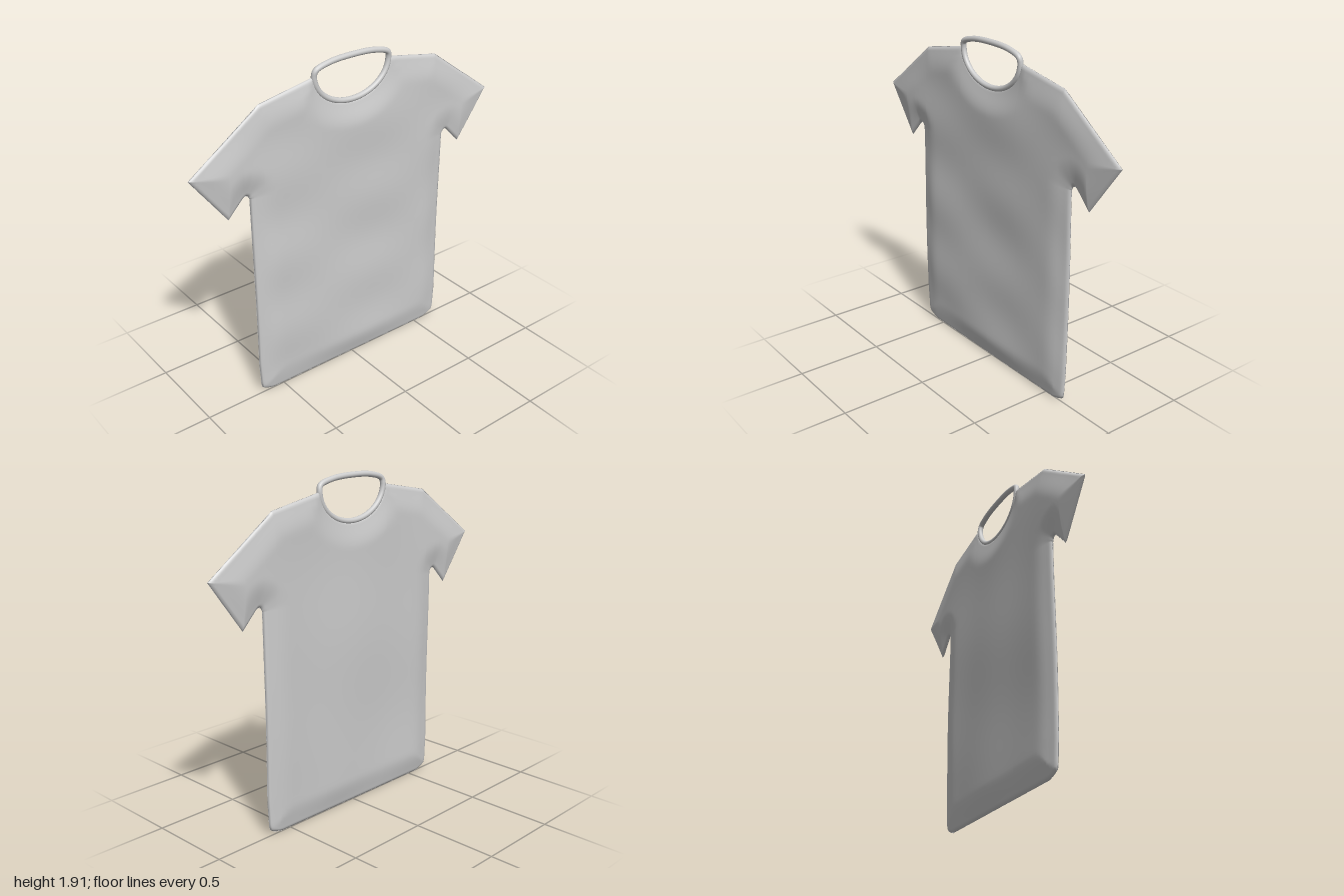
import * as THREE from 'three';
import { mergeVertices } from 'three/addons/utils/BufferGeometryUtils.js';

const ARMPIT = 1.26, SIDE = 0.66, NECK_X = 0.245, NECK_Y = 1.825, NECK_DROP = 0.18;

// Piecewise-linear curves of the cut, as [position, value] pairs
const halfWidth = [[0, 0.57], [0.012, 0.61], [0.03, 0.645], [0.06, 0.652], [0.2, SIDE], [ARMPIT, SIDE]];
const underSleeve = [[0, ARMPIT], [SIDE, ARMPIT], [0.668, 1.278], [0.685, 1.285], [0.702, 1.272], [0.79, 1.18], [1, 1.465]];
const shoulder = [[NECK_X, NECK_Y], [0.585, 1.762], [1, 1.465]];

function lookup(curve, t) {
  for (let i = 1; i < curve.length; i++) {
    const [a, va] = curve[i - 1], [b, vb] = curve[i];
    if (t <= b) return va + (vb - va) * (t - a) / (b - a);
  }
  return curve[curve.length - 1][1];
}

const neckline = (x) => NECK_Y - NECK_DROP * Math.sqrt(Math.max(0, 1 - (x / NECK_X) ** 2));
const topEdge = (x) => (x < NECK_X ? neckline(x) : lookup(shoulder, x));

// Closed outline of the shirt, used to measure the distance to the nearest edge
function makeOutline() {
  const half = halfWidth.map(([y, x]) => [x, y]);
  half.push(...underSleeve.slice(2), [0.585, 1.762]);
  for (let i = 0; i <= 24; i++) {
    const a = (i / 24) * Math.PI / 2;
    half.push([NECK_X * Math.cos(a), NECK_Y - NECK_DROP * Math.sin(a)]);
  }
  return [...half, ...half.map(([x, y]) => [-x, y]).reverse()];
}

function edgeDistance(outline, x, y) {
  let best = Infinity;
  outline.forEach(([ax, ay], i) => {
    const [bx, by] = outline[(i + 1) % outline.length];
    const dx = bx - ax, dy = by - ay;
    const t = THREE.MathUtils.clamp(((x - ax) * dx + (y - ay) * dy) / (dx * dx + dy * dy || 1), 0, 1);
    best = Math.min(best, Math.hypot(x - ax - t * dx, y - ay - t * dy));
  });
  return Math.max(0, best - 0.003);
}

// Column positions, bunched up next to each corner of the cut
function makeColumns() {
  const stops = [0, NECK_X, 0.585, SIDE, 0.702, 0.79, 1];
  const counts = [14, 12, 8, 6, 6, 14];
  const right = [0];
  counts.forEach((n, s) => {
    for (let i = 1; i <= n; i++) right.push(stops[s] + (stops[s + 1] - stops[s]) * ease(i / n));
  });
  return [...right.slice(1).reverse().map((x) => -x), ...right];
}
const ease = (t) => 0.5 - 0.5 * Math.cos(Math.PI * t);

// Cloth depth: soft rounded rim, sloping border, gentle folds
function clothDepth(x, y, d, side) {
  const rim = Math.sqrt(Math.min(1, d / 0.012));
  const slope = THREE.MathUtils.smoothstep(d, -0.05, 0.15) - THREE.MathUtils.smoothstep(0, -0.05, 0.15);
  const sway = 0.003 * Math.sin(5 * y + 2 * x);
  const folds = side > 0
    ? 0.005 * Math.sin(13 * y + 1.2 * x + 0.5) * Math.cos(5 * x - 0.6) + 0.003 * Math.cos(7 * x + 4 * y)
    : 0.003 * Math.sin(9 * x + 1.5 * y) + 0.002 * Math.sin(8 * y - 3 * x);
  return sway + side * (0.009 * rim + 0.028 * slope + folds * slope);
}

function makeCloth() {
  const outline = makeOutline(), columns = makeColumns();
  const positions = [], index = [];

  // Adds the front and back of one grid of points
  function addPanel(cols, rows, point) {
    const flat = [];
    for (let j = 0; j <= rows; j++) {
      for (const c of cols) {
        const [x, y] = point(c, ease(j / rows));
        flat.push([x, y, edgeDistance(outline, x, y)]);
      }
    }
    for (const side of [1, -1]) {
      const base = positions.length / 3, n = cols.length;
      for (const [x, y, d] of flat) positions.push(x, y, clothDepth(x, y, d, side));
      for (let j = 0; j < rows; j++) {
        for (let i = 0; i < n - 1; i++) {
          const a = base + j * n + i, b = a + 1, c = b + n, e = a + n;
          if (side > 0) index.push(a, b, c, a, c, e);
          else index.push(a, c, b, a, e, c);
        }
      }
    }
  }

  // Torso below the armpits
  const torsoColumns = columns.filter((x) => Math.abs(x) <= SIDE + 1e-6);
  addPanel(torsoColumns, 56, (x, t) => {
    const y = ARMPIT * t;
    return [x * lookup(halfWidth, y) / SIDE, y];
  });
  // Chest, shoulders and sleeves
  addPanel(columns, 36, (x, t) => {
    const low = lookup(underSleeve, Math.abs(x));
    return [x, low + (topEdge(Math.abs(x)) - low) * t];
  });

  let geometry = new THREE.BufferGeometry();
  geometry.setAttribute('position', new THREE.Float32BufferAttribute(positions, 3));
  geometry.setIndex(index);
  geometry = mergeVertices(geometry, 1e-4);
  geometry.computeVertexNormals();
  return geometry;
}

// Ribbed neck ring: half-ellipse below, shallow arch above
function makeCollar() {
  const path = [];
  for (let i = 0; i <= 12; i++) {
    const a = Math.PI + (i / 12) * Math.PI;
    path.push(new THREE.Vector3(NECK_X * Math.cos(a), NECK_Y + NECK_DROP * Math.sin(a), 0.004));
  }
  for (const [x, y] of [[0.236, 1.855], [0.15, 1.882], [0, 1.891], [-0.15, 1.882], [-0.236, 1.855]]) {
    path.push(new THREE.Vector3(x, y, 0.008));
  }
  return new THREE.TubeGeometry(new THREE.CatmullRomCurve3(path, true), 120, 0.016, 14, true);
}

export function createModel() {
  const fabric = new THREE.MeshStandardMaterial({ color: 0xcccccc });
  fabric.name = 'light grey fabric';

  const group = new THREE.Group();
  group.name = 'shirt';
  for (const [name, geometry] of [['shirtBody', makeCloth()], ['collar', makeCollar()]]) {
    const mesh = new THREE.Mesh(geometry, fabric);
    mesh.name = name;
    group.add(mesh);
  }
  return group;
}
